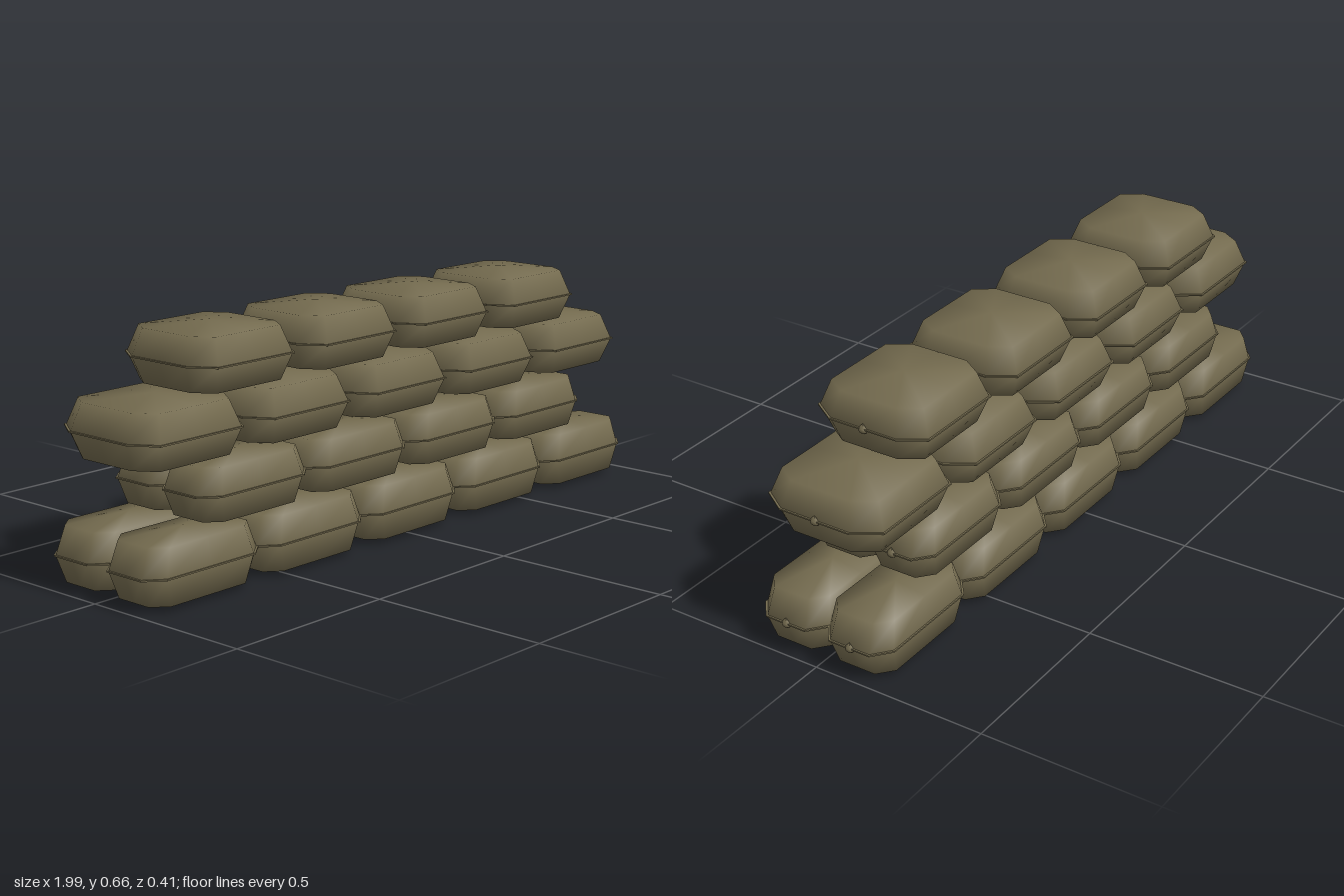
import * as THREE from 'three';

// Chamfered plan outline of a bag, counted from +x towards +z
function outline(hx, hz) {
  const ex = 0.75 * hx, ez = 0.6 * hz;
  return [[hx, 0], [hx, ez], [ex, hz], [0, hz], [-ex, hz], [-hx, ez],
    [-hx, 0], [-hx, -ez], [-ex, -hz], [0, -hz], [ex, -hz], [hx, -ez]];
}

// Closed pillow from three rings (lower rim, seam, upper rim) and two apexes
function bagGeometry(hx, hz, rimX, rimZ, hy) {
  const pos = [], idx = [], n = 12;
  const rings = [[-hy * 0.84, rimX, rimZ], [0, hx, hz], [hy * 0.84, rimX, rimZ]];
  for (const [y, rx, rz] of rings)
    for (const [x, z] of outline(rx, rz)) pos.push(x, y, z);
  pos.push(0, -hy, 0, 0, hy, 0);
  for (let i = 0; i < n; i++) {
    const j = (i + 1) % n;
    for (let r = 0; r < 2; r++) {
      const a = r * n + i, b = r * n + j;
      idx.push(a, a + n, b, b, a + n, b + n);
    }
    idx.push(3 * n, i, j);
    idx.push(3 * n + 1, 2 * n + j, 2 * n + i);
  }
  const g = new THREE.BufferGeometry();
  g.setAttribute('position', new THREE.Float32BufferAttribute(pos, 3));
  g.setIndex(idx);
  g.computeVertexNormals();
  return g;
}

// Thin stitched lip around the widest line
function seamGeometry(hx, hz) {
  const shape = new THREE.Shape(outline(hx, hz).map(([x, z]) => new THREE.Vector2(x, z)));
  const g = new THREE.ExtrudeGeometry(shape, { depth: 0.004, bevelEnabled: false });
  return g.rotateX(-Math.PI / 2).translate(0, -0.002, 0);
}

export function createModel() {
  const model = new THREE.Group();
  model.name = 'sandbagWall';
  const canvas = new THREE.MeshStandardMaterial({ color: 0x736a4e });
  canvas.name = 'olive canvas';

  const tieKnot = new THREE.SphereGeometry(0.013, 8, 6).scale(0.6, 0.7, 1);
  const tieTip = new THREE.ConeGeometry(0.012, 0.014, 6).scale(0.6, 1, 1);

  // Courses from the ground up
  const courses = [
    { count: 5, y: 0.091, hy: 0.09, hx: 0.198, hz: 0.1, rimX: 0.17, rimZ: 0.09, depths: [0.1, -0.1] },
    { count: 4, y: 0.257, hy: 0.084, hx: 0.194, hz: 0.1, rimX: 0.168, rimZ: 0.088, depths: [0.087, -0.087] },
    { count: 5, y: 0.419, hy: 0.086, hx: 0.184, hz: 0.175, rimX: 0.158, rimZ: 0.149, depths: [0] },
    { count: 4, y: 0.579, hy: 0.085, hx: 0.177, hz: 0.168, rimX: 0.152, rimZ: 0.142, depths: [0] },
  ];

  courses.forEach((c, row) => {
    const body = bagGeometry(c.hx, c.hz, c.rimX, c.rimZ, c.hy);
    const seam = seamGeometry(c.hx + 0.004, c.hz + 0.004);
    const course = new THREE.Group();
    course.name = `course${row + 1}`;
    for (const z of c.depths) {
      for (let i = 0; i < c.count; i++) {
        const bag = new THREE.Group();
        bag.name = 'sandbag';
        bag.position.set((i - (c.count - 1) / 2) * 0.395, c.y, z);
        const add = (geometry, name, x = 0, y = 0) => {
          const mesh = new THREE.Mesh(geometry, canvas);
          mesh.name = name;
          mesh.position.set(x, y, 0);
          bag.add(mesh);
        };
        add(body, 'bagBody');
        add(seam, 'bagSeam');
        add(tieKnot, 'tieKnot', c.hx, -0.004);
        add(tieTip, 'tieTip', c.hx, 0.009);
        course.add(bag);
      }
    }
    model.add(course);
  });
  return model;
}
